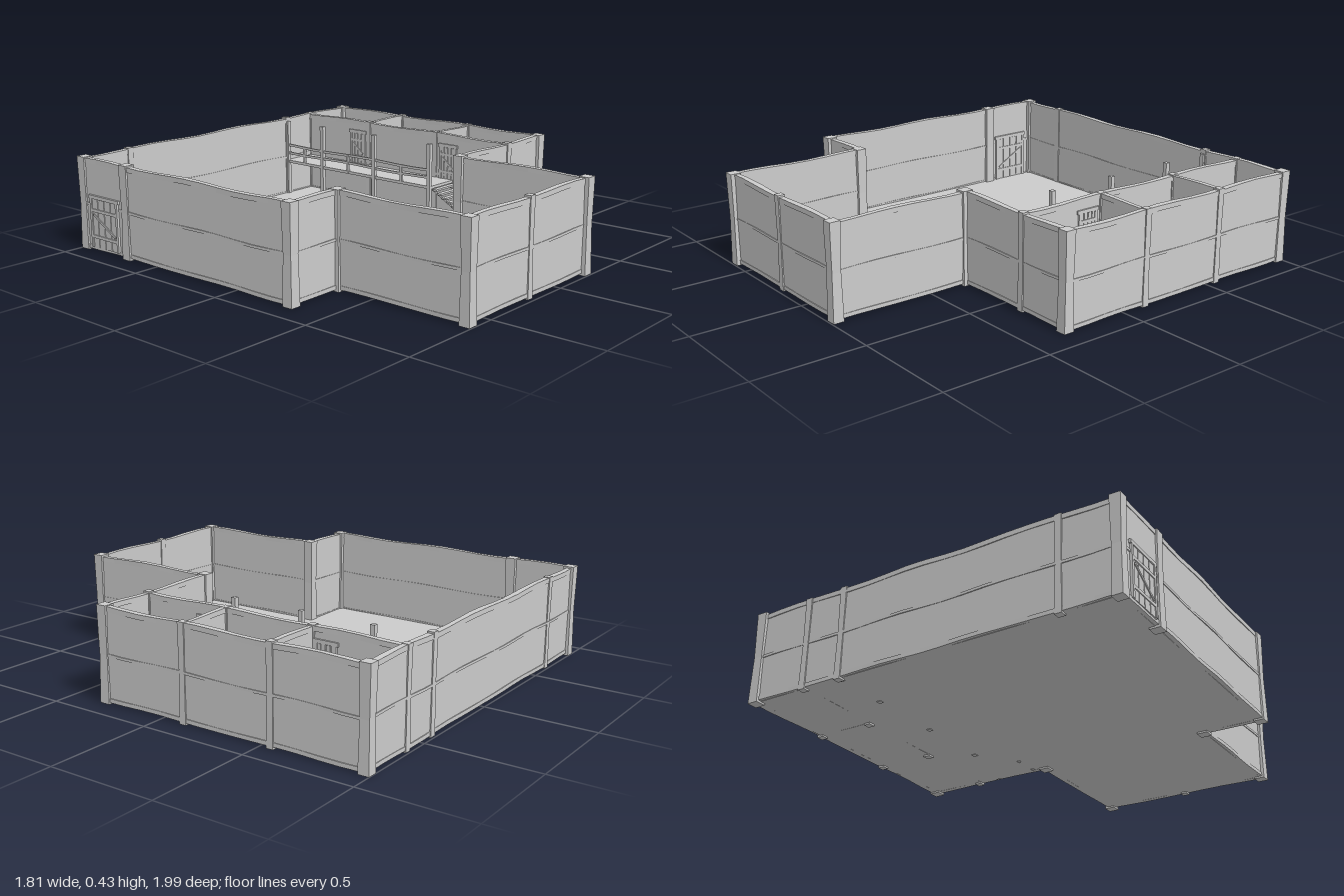
import * as THREE from 'three';

const material = new THREE.MeshStandardMaterial({ color: 0xcccccc, flatShading: true });

export function createModel() {
  const model = new THREE.Group();

  function add(name, geometry, x, y, z, parent = model) {
    const mesh = new THREE.Mesh(geometry, material);
    mesh.name = name;
    mesh.position.set(x, y, z);
    parent.add(mesh);
    return mesh;
  }
  // Box given by its lower and upper limits
  function block(name, x0, x1, y0, y1, z0, z1, parent = model) {
    return add(name, new THREE.BoxGeometry(x1 - x0, y1 - y0, z1 - z0),
      (x0 + x1) / 2, (y0 + y1) / 2, (z0 + z1) / 2, parent);
  }
  // Hand-hewn beam along x with a gentle wave
  function beam(name, length, height, depth, y, wave, phase, parent) {
    const n = Math.max(3, Math.round(length * 10));
    const g = new THREE.BoxGeometry(length, height, depth, n, 1, 1);
    const p = g.attributes.position;
    for (let i = 0; i < p.count; i++) {
      const x = p.getX(i);
      p.setY(i, p.getY(i) + wave * Math.sin(x * 11 + phase));
      p.setZ(i, p.getZ(i) * (1 + 0.12 * Math.sin(x * 17 + phase)));
    }
    return add(name, g, 0, y, 0, parent);
  }
  // Wall: thin panel between bottom, middle and top beams
  function wall(name, x0, z0, x1, z1, thick = 0.026) {
    const g = new THREE.Group();
    g.name = name;
    const length = Math.hypot(x1 - x0, z1 - z0);
    g.position.set((x0 + x1) / 2, 0, (z0 + z1) / 2);
    g.rotation.y = Math.atan2(-(z1 - z0), x1 - x0);
    const phase = x0 * 3 + z1 * 5;
    add('wallPanel', new THREE.BoxGeometry(length, 0.395, thick - 0.006), 0, 0.2125, 0, g);
    beam('bottomBeam', length, 0.018, thick, 0.018, 0.002, phase, g);
    beam('middleBeam', length, 0.012, thick, 0.217, 0.003, phase + 1, g);
    beam('topBeam', length, 0.022, thick, 0.414, 0.004, phase + 2, g);
    model.add(g);
  }
  // Slightly tapered upright post
  function post(name, x, z, size, y0 = 0, y1 = 0.43) {
    const g = new THREE.BoxGeometry(size, y1 - y0, size, 1, 4, 1);
    const p = g.attributes.position;
    for (let i = 0; i < p.count; i++) {
      const k = 1 - 0.08 * Math.cos(p.getY(i) * 15);
      p.setX(i, p.getX(i) * k);
      p.setZ(i, p.getZ(i) * k);
    }
    add(name, g, x, (y0 + y1) / 2, z);
  }

  // Ground floor, T-shaped
  block('mainFloor', -0.88, 0.88, 0.008, 0.02, -0.975, 0.31);
  block('frontFloor', -0.61, 0.23, 0.008, 0.02, 0.31, 0.97);

  // Outer walls
  wall('backWall', -0.88, -0.975, 0.88, -0.975);
  wall('rightWall', -0.885, -0.975, -0.885, 0.31);
  wall('leftWall', 0.88, -0.975, 0.88, 0.31);
  wall('frontRightWall', -0.88, 0.31, -0.61, 0.31);
  wall('frontLeftWall', 0.23, 0.31, 0.88, 0.31);
  wall('extensionRightWall', -0.61, 0.31, -0.61, 0.965);
  wall('extensionLeftWall', 0.23, 0.31, 0.23, 0.965);
  wall('extensionFrontWall', -0.61, 0.965, 0.23, 0.965);

  // Side rooms
  wall('roomWall', 0.61, -0.975, 0.61, 0.31);
  for (const z of [-0.55, -0.115]) wall('roomDivider', 0.61, z, 0.88, z, 0.022);
  block('roomUpperFloor', 0.61, 0.88, 0.19, 0.2, -0.97, 0.31);

  // Corner posts
  const corners = [[-0.88, -0.975], [0.875, -0.975], [-0.88, 0.312], [0.875, 0.312],
    [-0.608, 0.315], [0.227, 0.315], [-0.61, 0.97], [0.227, 0.97], [-0.88, -0.68]];
  for (const [x, z] of corners) post('cornerPost', x, z, 0.046);

  // Slim posts along the walls
  const studs = [[-0.2, 0.965], [-0.63, -0.975], [0.42, -0.975], [0.61, -0.975],
    [0.61, 0.31], [0.88, -0.55], [0.88, -0.115], [0.61, -0.55], [0.61, -0.115]];
  for (const [x, z] of studs) post('wallPost', x, z, 0.03);

  // Plank door with frame; lies in the plane x = const
  function door(name, x, y, z, width, height, depth) {
    const g = new THREE.Group();
    g.name = name;
    g.position.set(x, y, z);
    const w = width / 2, d = depth / 2;
    for (let i = 0; i < 4; i++) {
      const z0 = -w + i * width / 4;
      block('doorPlank', -d * 0.8, d * 0.8, 0, height - 0.006 * (i % 2), z0 + 0.002, z0 + width / 4 - 0.002, g);
    }
    for (const s of [-1, 1]) block('doorJamb', -d, d, 0, height, s * w - 0.007, s * w + 0.007, g);
    block('doorLintel', -d, d, height - 0.004, height + 0.012, -w - 0.014, w + 0.014, g);
    for (const k of [0.22, 0.75]) {
      block('doorBrace', -d, d, height * k - 0.007, height * k + 0.007, -w, w, g);
    }
    const diagonal = block('doorDiagonal', -d, d, -0.005, 0.005, -w * 0.95, w * 0.95, g);
    diagonal.position.y = height * 0.48;
    diagonal.rotation.x = Math.atan2(height * 0.45, width);
    model.add(g);
  }
  door('mainDoor', -0.885, 0.02, -0.825, 0.18, 0.23, 0.042);
  for (const z of [-0.62, -0.03]) door('roomDoor', 0.61, 0.2, z, 0.09, 0.165, 0.036);

  // Raised walkway with posts and railing
  block('walkway', 0.415, 0.605, 0.186, 0.2, -0.97, 0);
  const railPosts = [-0.96, -0.71, -0.36, -0.01];
  for (const z of railPosts) post('walkwayPost', 0.42, z, 0.02, 0.005, 0.41);
  for (const z of [-0.84, -0.535, -0.185]) post('balusterPost', 0.42, z, 0.013, 0.19, 0.285);
  for (const y of [0.24, 0.28]) {
    const rail = beam('rail', 0.96, 0.012, 0.009, y, 0.003, y * 30, model);
    rail.rotation.y = Math.PI / 2;
    rail.position.set(0.42, y, -0.485);
  }

  // Stairs: down to the landing, then turning towards the hall
  block('landing', 0.425, 0.595, 0.09, 0.102, 0.145, 0.305);
  for (let i = 0; i < 5; i++) {
    const z = 0.002 + i * 0.029, x = 0.418 - i * 0.028;
    const yUp = 0.185 - i * 0.0165, yLow = 0.088 - i * 0.0155;
    block('upperStep', 0.43, 0.588, yUp - 0.009, yUp, z, z + 0.025);
    block('lowerStep', x - 0.024, x, yLow - 0.009, yLow, 0.15, 0.3);
  }
  // Sloping stringers under the treads
  for (const x of [0.445, 0.573]) {
    const s = add('upperStringer', new THREE.BoxGeometry(0.01, 0.012, 0.17), x, 0.138, 0.073);
    s.rotation.x = Math.atan2(0.0165, 0.029);
  }
  for (const z of [0.165, 0.285]) {
    const s = add('lowerStringer', new THREE.BoxGeometry(0.16, 0.012, 0.01), 0.35, 0.044, z);
    s.rotation.z = Math.atan2(0.0155, 0.028);
  }
  for (const z of [0.155, 0.295]) post('landingPost', 0.435, z, 0.014, 0.01, 0.095);

  return model;
}
